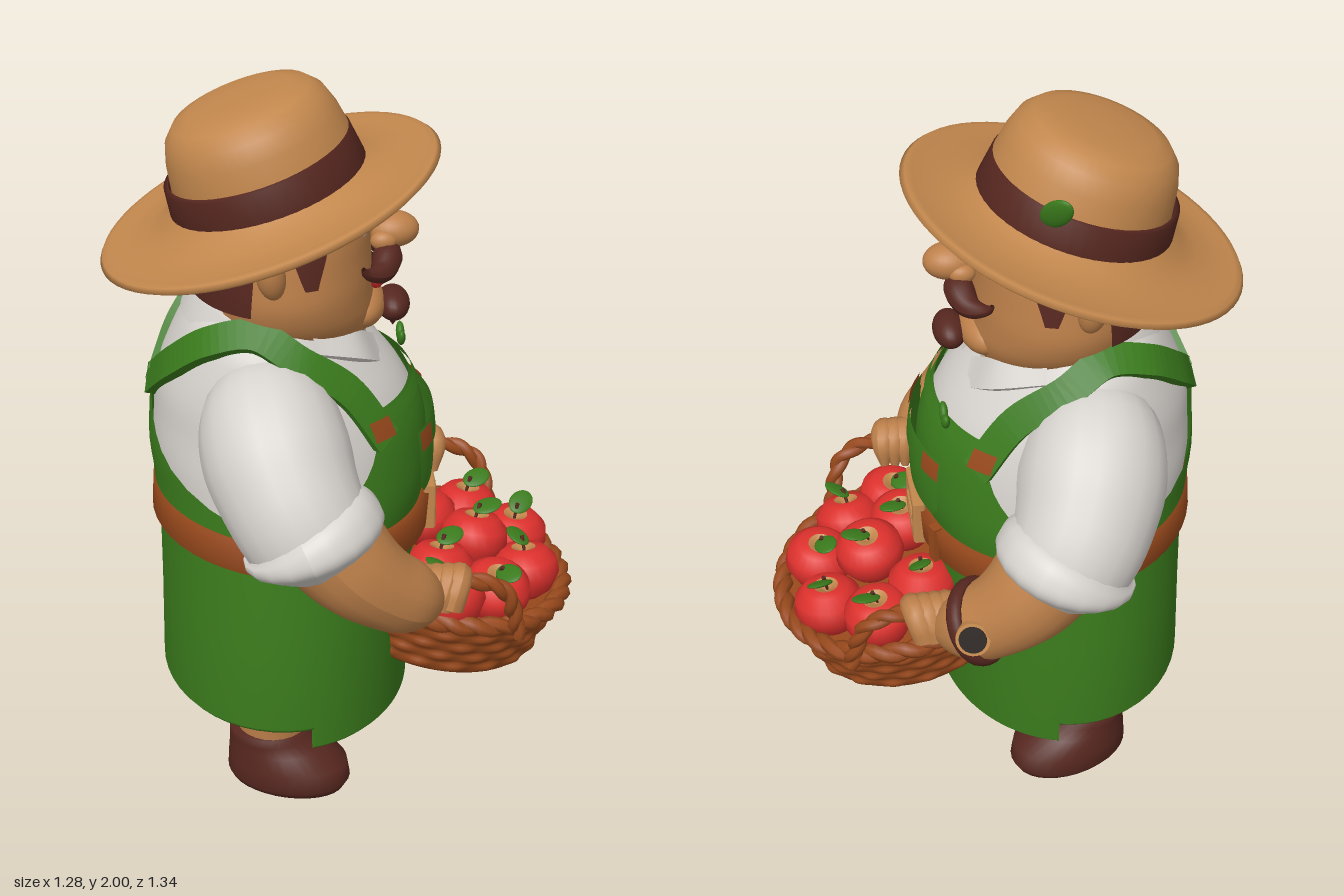
import * as THREE from 'three';
import { mergeVertices } from 'three/addons/utils/BufferGeometryUtils.js';

const mat = (name, color) => new THREE.MeshStandardMaterial({ name, color, side: THREE.DoubleSide });
const tan = mat('tan', 0xc2874d), green = mat('green', 0x3a7a1c), white = mat('white', 0xd6d2cd),
  leather = mat('leather', 0x98491c), brown = mat('brown', 0x56271f), red = mat('red', 0xdc302c),
  dark = mat('dark', 0x2a2320), skin = mat('skin', 0xbd804a);
const V = (x, y, z) => new THREE.Vector3(x, y, z);
const rad = THREE.MathUtils.degToRad;

function add(parent, name, geo, material, pos = [0, 0, 0], scale = [1, 1, 1], rot = [0, 0, 0]) {
  const m = new THREE.Mesh(geo, material);
  m.name = name;
  m.position.set(...pos); m.scale.set(...scale); m.rotation.set(...rot);
  parent.add(m);
  return m;
}
const ball = new THREE.SphereGeometry(1, 24, 16);

// Smooth lookup through rows of [height, centre x, radius x, radius z]
function sampler(rows) {
  const f = new THREE.CubicInterpolant(rows.map(r => r[0]), rows.flatMap(r => r.slice(1)), 3, []);
  return (y, off = 0) => { const r = f.evaluate(y); return [y, r[0], r[1] + off, r[2] + off]; };
}
const slices = (at, a, b, n, off = 0) => Array.from({ length: n + 1 }, (_, i) => at(a + (b - a) * i / n, off));
// Point of an oval section
const oval = ([y, cx, rx, rz], a, bump = 0) => V(cx + (rx + bump) * Math.cos(a), y, (rz + bump) * Math.sin(a));
// Skin over oval sections; half gives the half angle in degrees, mid the middle angle
function shell(rows, { half = () => 180, mid = 0, n = 48, bump = () => 0, minX = -9 } = {}) {
  const pos = [], idx = [], w = n + 1;
  rows.forEach((r, j) => {
    const h = rad(half(r[0]));
    for (let i = 0; i <= n; i++) {
      const a = rad(mid) + h * (2 * i / n - 1), p = oval(r, a, bump(a, j));
      pos.push(Math.max(p.x, minX), p.y, p.z);
      if (j && i) {
        const d = j * w + i, c = d - 1, b = d - w, a0 = c - w;
        idx.push(a0, c, b, b, c, d);
      }
    }
  });
  let g = new THREE.BufferGeometry();
  g.setAttribute('position', new THREE.Float32BufferAttribute(pos, 3));
  g.setIndex(idx);
  g = mergeVertices(g, 1e-5);
  g.computeVertexNormals();
  return g;
}
// Tube with a changing radius
function limb(points, radii, seg = 24, sides = 20) {
  const curve = new THREE.CatmullRomCurve3(points.map(p => V(...p)));
  const g = new THREE.TubeGeometry(curve, seg, 1, sides), P = g.attributes.position, v = V();
  const f = new THREE.CubicInterpolant(radii.map((_, i) => i / (radii.length - 1)), radii, 1, []);
  for (let i = 0; i < P.count; i++) {
    const t = Math.floor(i / (sides + 1)) / seg, c = curve.getPointAt(t);
    v.fromBufferAttribute(P, i).sub(c).multiplyScalar(Math.max(0.002, f.evaluate(t)[0])).add(c);
    P.setXYZ(i, v.x, v.y, v.z);
  }
  g.computeVertexNormals();
  return g;
}
// Flat strap lying on the body
function band(points, width, thick) {
  const curve = new THREE.CatmullRomCurve3(points), pos = [], idx = [], n = 40;
  for (let i = 0; i <= n; i++) {
    const p = curve.getPointAt(i / n), out = p.clone().sub(V(-0.2, 1.1, 0)).normalize();
    const side = curve.getTangentAt(i / n).cross(out).normalize();
    for (const [a, b] of [[-1, -1], [1, -1], [1, 1], [-1, 1]])
      pos.push(...p.clone().addScaledVector(side, a * width / 2).addScaledVector(out, b * thick / 2).toArray());
    if (i) for (let k = 0; k < 4; k++) {
      const a = (i - 1) * 4 + k, b = (i - 1) * 4 + (k + 1) % 4;
      idx.push(a, b, a + 4, b, b + 4, a + 4);
    }
  }
  const g = new THREE.BufferGeometry();
  g.setAttribute('position', new THREE.Float32BufferAttribute(pos, 3));
  g.setIndex(idx);
  const flat = g.toNonIndexed();
  flat.computeVertexNormals();
  return flat;
}
// Two strands twisted round a curve
function rope(parent, name, points, closed, r, turns) {
  const curve = new THREE.CatmullRomCurve3(points, closed), n = 90, fr = curve.computeFrenetFrames(n, closed);
  for (const phase of [0, Math.PI]) {
    const pts = [];
    for (let i = 0; i < n + (closed ? 0 : 1); i++) {
      const a = phase + i / n * turns * 2 * Math.PI;
      pts.push(curve.getPointAt(i / n).addScaledVector(fr.normals[i], r * 0.5 * Math.cos(a)).addScaledVector(fr.binormals[i], r * 0.5 * Math.sin(a)));
    }
    add(parent, name, new THREE.TubeGeometry(new THREE.CatmullRomCurve3(pts, closed), 140, r, 7, closed), leather);
  }
}
const lathe = (pts, n = 48) => new THREE.LatheGeometry(pts.map(p => new THREE.Vector2(...p)), n);
const rect = (C, w, h) => new C([[-w, -h], [w, -h], [w, h], [-w, h]].map(p => new THREE.Vector2(...p)));

const torsoRows = [[0.76, -0.17, 0.345, 0.385], [0.9, -0.155, 0.36, 0.385], [1.0, -0.16, 0.365, 0.375], [1.1, -0.165, 0.355, 0.36],
  [1.2, -0.185, 0.325, 0.345], [1.3, -0.21, 0.262, 0.315], [1.38, -0.23, 0.2, 0.27], [1.44, -0.22, 0.17, 0.18]];
const headRows = [[1.27, -0.13, 0.05, 0.04], [1.3, -0.13, 0.16, 0.13], [1.36, -0.15, 0.22, 0.215], [1.45, -0.16, 0.23, 0.262],
  [1.55, -0.165, 0.23, 0.26], [1.65, -0.17, 0.225, 0.245], [1.75, -0.2, 0.2, 0.22], [1.84, -0.23, 0.12, 0.14]];

function buildBody(g) {
  const at = sampler(torsoRows), P = (y, a, off) => oval(at(y, off), rad(a));
  const ys = (a, b, off) => slices(at, a, b, 12, off);
  add(g, 'shirt', shell(slices(at, 0.76, 1.44, 24)), white);
  // Apron top, pocket and back
  add(g, 'bib', shell(ys(0.8, 1.18, 0.014), { half: y => 50 + 58 * Math.max(0, (1.18 - y) / 0.38) ** 2.2 }), green);
  add(g, 'apronBack', shell(ys(0.84, 1.22, 0.012), { mid: 180, half: y => 8 + 92 * ((1.22 - y) / 0.38) ** 2.4 }), green);
  add(g, 'bibHem', shell(ys(1.15, 1.18, 0.024), { half: () => 46 }), green);
  add(g, 'pocket', shell(ys(0.89, 1.06, 0.032), { half: y => 29 - Math.max(0, 0.92 - y) * 150 }), green);
  add(g, 'pocketFlap', shell(ys(1.01, 1.085, 0.04), { half: y => 31 - Math.max(0, 1.03 - y) * 150 }), green);
  for (const s of [1, -1]) {
    add(g, 'pocketTab', shell(ys(1.03, 1.085, 0.047), { mid: 25.5 * s, half: () => 5.5, n: 4 }), leather);
    const path = [[1.1, 46], [1.25, 53], [1.34, 69], [1.4, 95], [1.37, 130], [1.28, 155], [1.17, 178]];
    add(g, 'strap', band(path.map(([y, a]) => P(y, a * s, 0.008)), 0.085, 0.03), green);
    add(g, 'strapTab', shell(ys(1.115, 1.17, 0.034), { mid: 48 * s, half: () => 5.5, n: 4 }), leather);
    add(g, 'collarFlap', band([V(-0.1, 1.37, 0.22 * s), V(0.02, 1.32, 0.15 * s), V(0.075, 1.26, 0.05 * s)], 0.085, 0.02), white);
    add(g, 'bibSprig', ball, green, [0.16, 1.2, -0.155 + 0.02 * s], [0.012, 0.03, 0.018], [0.7 * s, 0, 0]);
  }
  add(g, 'collar', shell([[-0.07, 0, 0.25, 0.25], [0, 0, 0.245, 0.235], [0.05, 0, 0.235, 0.215], [0.04, 0, 0.2, 0.19]],
    { mid: 180, half: () => 168 }), white, [-0.18, 1.38, 0], [1, 1, 1], [0, 0, -0.28]);
  // Skirt with a turned hem and front overlap
  add(g, 'skirt', shell([[0.55, -0.18, 0.31, 0.39], [0.3, -0.18, 0.315, 0.4], [0.285, -0.18, 0.33, 0.42], [0.3, -0.18, 0.342, 0.432],
    [0.55, -0.175, 0.342, 0.418], [0.82, -0.165, 0.35, 0.388]]), green);
  add(g, 'apronFront', shell([[0.5, -0.18, 0.325, 0.415], [0.25, -0.18, 0.33, 0.42], [0.232, -0.18, 0.338, 0.43], [0.245, -0.18, 0.35, 0.442],
    [0.55, -0.175, 0.352, 0.43], [0.82, -0.16, 0.362, 0.398]], { half: () => 79 }), green);
  // Belt and buckle
  add(g, 'belt', shell([[-0.048, 0, 0.352, 0.385], [-0.046, 0, 0.382, 0.413], [0.046, 0, 0.382, 0.413], [0.048, 0, 0.35, 0.38]]),
    leather, [-0.152, 0.812, 0], [1, 1, 1], [0, 0, -0.07]);
  const frame = rect(THREE.Shape, 0.08, 0.058);
  frame.holes.push(rect(THREE.Path, 0.064, 0.044));
  add(g, 'buckle', new THREE.ExtrudeGeometry(frame, { depth: 0.02, bevelSize: 0.008, bevelThickness: 0.008, bevelSegments: 3 }),
    tan, [0.216, 0.787, 0], [1, 1, 1], [0, Math.PI / 2, 0]);
  add(g, 'bucklePin', new THREE.BoxGeometry(0.015, 0.014, 0.12), tan, [0.238, 0.787, 0]);
  add(g, 'beltLoop', new THREE.BoxGeometry(0.025, 0.11, 0.03), leather, [0.193, 0.787, -0.17], [1, 1, 1], [0, 0.4, 0]);
}

function buildLimbs(g) {
  const boot = [[0, 0.055, 0.005, 0.005], [0.001, 0.055, 0.165, 0.105], [0.03, 0.058, 0.178, 0.127], [0.08, 0.055, 0.172, 0.122],
    [0.125, 0.025, 0.138, 0.108], [0.15, 0, 0.112, 0.102], [0.178, 0, 0.112, 0.105], [0.184, 0, 0.08, 0.085]];
  for (const s of [1, -1]) {
    add(g, 'boot', shell(boot, { n: 32 }), brown, [-0.23, 0, 0.21 * s], [1, 1, 1], [0, -0.38 * s, 0]);
    add(g, 'leg', new THREE.CylinderGeometry(0.13, 0.098, 0.42, 24), skin, [-0.22, 0.37, 0.21 * s]);
    add(g, 'sleeve', limb([[-0.23, 1.25, 0.14 * s], [-0.22, 1.19, 0.27 * s], [-0.195, 1.1, 0.37 * s], [-0.15, 1.0, 0.455 * s], [-0.1, 0.92, 0.485 * s]],
      [0.08, 0.17, 0.195, 0.182, 0.165]), white);
    add(g, 'cuff', limb([[-0.14, 0.995, 0.47 * s], [-0.12, 0.96, 0.477 * s], [-0.095, 0.895, 0.484 * s], [-0.09, 0.88, 0.484 * s]],
      [0.155, 0.189, 0.184, 0.12]), white);
    add(g, 'forearm', limb([[-0.09, 0.95, 0.48 * s], [0, 0.845, 0.495 * s], [0.08, 0.775, 0.48 * s], [0.16, 0.72, 0.435 * s], [0.225, 0.685, 0.375 * s]],
      [0.145, 0.132, 0.112, 0.094, 0.03]), skin);
    for (let i = 0; i < 4; i++) {
      const x = 0.18 + 0.03 * i;
      add(g, 'finger', limb([[x - 0.02, 0.68, 0.43 * s], [x, 0.74, 0.415 * s], [x + 0.01, 0.745, 0.37 * s], [x + 0.01, 0.66, 0.34 * s]],
        [0.038, 0.037, 0.033, 0.01], 12, 12), skin);
    }
  }
  // Wrist watch
  const watch = new THREE.Group();
  watch.name = 'watch';
  watch.position.set(0.115, 0.752, -0.463);
  const out = V(0.25, 0.32, -0.91).normalize();
  add(watch, 'watchStrap', new THREE.TorusGeometry(0.108, 0.013, 10, 32), brown, [0, 0, 0], [1, 1, 1.8])
    .quaternion.setFromUnitVectors(V(0, 0, 1), V(0.74, -0.5, 0.45).normalize());
  [['watchCase', 0.046, 0.03, 0.112, tan], ['watchDial', 0.037, 0.008, 0.126, dark]].forEach(([name, r, h, d, m]) =>
    add(watch, name, new THREE.CylinderGeometry(r, r, h, 24), m, out.clone().multiplyScalar(d).toArray())
      .quaternion.setFromUnitVectors(V(0, 1, 0), out));
  g.add(watch);
}

function buildHead(g) {
  const at = sampler(headRows), ys = (a, b, off) => slices(at, a, b, 8, off);
  add(g, 'head', shell(slices(at, 1.27, 1.84, 28)), skin);
  add(g, 'hair', shell(ys(1.46, 1.74, 0.026), { mid: 180, half: y => 68 + 30 * (y - 1.46) }), brown);
  add(g, 'nose', ball, skin, [0.122, 1.585, 0], [0.07, 0.048, 0.056]);
  add(g, 'noseBridge', ball, skin, [0.065, 1.615, 0], [0.05, 0.06, 0.035]);
  for (const s of [1, -1]) {
    add(g, 'sideburn', shell(ys(1.53, 1.74, 0.012), { mid: 75 * s, half: y => 4 + 80 * (y - 1.53), n: 10 }), brown);
    add(g, 'ear', ball, skin, [-0.205, 1.58, 0.275 * s], [0.038, 0.07, 0.04], [0.2 * s, 0, 0.15]);
    add(g, 'eye', ball, white, [0.03, 1.643, 0.08 * s], [0.026, 0.047, 0.047]);
    add(g, 'pupil', ball, dark, [0.05, 1.642, 0.074 * s], [0.009, 0.03, 0.027]);
    add(g, 'glint', ball, white, [0.058, 1.653, 0.074 * s + 0.008], [0.003, 0.006, 0.006]);
    add(g, 'eyebrow', limb([[0.055, 1.72, 0.03 * s], [0.05, 1.738, 0.08 * s], [0.015, 1.715, 0.14 * s]], [0.02, 0.024, 0.01], 12, 10), brown);
    add(g, 'nostril', ball, skin, [0.095, 1.57, 0.045 * s], [0.035, 0.026, 0.024]);
    add(g, 'moustache', limb([[0.1, 1.54, 0], [0.105, 1.53, 0.05 * s], [0.085, 1.51, 0.11 * s], [0.045, 1.525, 0.155 * s], [0.035, 1.545, 0.17 * s]],
      [0.024, 0.04, 0.034, 0.02, 0.006], 20, 12), brown);
  }
  // Open mouth and beard
  add(g, 'mouth', ball, dark, [0.055, 1.475, 0], [0.03, 0.042, 0.076]);
  add(g, 'teeth', ball, white, [0.073, 1.488, 0], [0.014, 0.014, 0.05]);
  add(g, 'lip', limb([[0.055, 1.475, 0.074], [0.075, 1.45, 0.038], [0.08, 1.443, 0], [0.075, 1.45, -0.038], [0.055, 1.475, -0.074]],
    [0.005, 0.016, 0.02, 0.016, 0.005], 20, 10), red);
  add(g, 'chin', ball, skin, [0.035, 1.38, 0], [0.07, 0.06, 0.12]);
  add(g, 'beard', ball, brown, [0.125, 1.372, 0], [0.045, 0.043, 0.073]);
  add(g, 'beardTip', new THREE.ConeGeometry(0.058, 0.065, 16), brown, [0.125, 1.338, 0], [0.7, 1, 1], [Math.PI, 0, 0]);
  add(g, 'neck', new THREE.CylinderGeometry(0.16, 0.19, 0.18, 24), skin, [-0.17, 1.35, 0]);
  // Tilted straw hat
  const hat = new THREE.Group();
  hat.name = 'hat';
  hat.position.set(-0.2, 1.672, 0);
  hat.rotation.z = 0.33;
  add(hat, 'brim', lathe([[0.24, 0.02], [0.32, -0.008], [0.41, -0.018], [0.45, -0.012], [0.468, 0], [0.458, 0.012], [0.44, 0.014],
    [0.4, 0.008], [0.33, 0.016], [0.285, 0.035], [0.25, 0.06]], 64), tan);
  add(hat, 'crown', lathe([[0.255, 0.02], [0.245, 0.12], [0.233, 0.19], [0.216, 0.24], [0.185, 0.273], [0.14, 0.288], [0.07, 0.294], [0, 0.295]]),
    tan, [0.02, 0, 0]);
  add(hat, 'hatBand', lathe([[0.25, 0.035], [0.266, 0.038], [0.254, 0.13], [0.24, 0.133]]), brown, [0.012, 0, 0]);
  add(hat, 'hatLeaf', ball, green, [0.14, 0.14, -0.24], [0.035, 0.062, 0.014], [-0.5, -0.5, 0.2]);
  g.add(hat);
}

function buildBasket(g) {
  // Round basket, flat where it rests against the belly
  const b = new THREE.Group(), minX = -0.18;
  b.name = 'basket';
  b.position.set(0.29, 0.57, 0);
  b.rotation.z = -0.187;
  const rows = Array.from({ length: 26 }, (_, j) => { const t = j / 25; return [-0.2 + 0.2 * t, 0, 0.285 + 0.043 * t, 0.28 + 0.07 * t]; });
  add(b, 'weave', shell([[-0.2, 0, 0.01, 0.01], ...rows], { n: 144, minX,
    bump: (a, j) => j < 1 ? 0 : 0.006 * Math.abs(Math.sin((j - 1) / 5 * Math.PI)) * (1.2 + Math.sin(a * 18 + Math.floor((j - 1) / 5) * Math.PI)) }), leather);
  add(b, 'basketFloor', shell([[-0.03, 0, 0.01, 0.01], [-0.03, 0, 0.32, 0.335]], { minX }), leather);
  rope(b, 'rim', Array.from({ length: 32 }, (_, i) => oval([0, 0, 0.328, 0.352], i / 16 * Math.PI).max(V(minX, 0, -9))), true, 0.02, 14);
  g.add(b);
  for (const s of [1, -1])
    rope(g, 'handle', [V(0.14, 0.58, 0.33 * s), V(0.18, 0.68, 0.365 * s), V(0.29, 0.73, 0.38 * s), V(0.4, 0.69, 0.37 * s), V(0.45, 0.52, 0.33 * s)], false, 0.017, 4);
  // Apples: x, height, z, turn
  const apples = [[0.36, 0.59, -0.23, 0.6], [0.49, 0.56, -0.13, 1], [0.36, 0.63, 0, 0.3], [0.5, 0.56, 0.07, 2], [0.4, 0.58, 0.2, -0.8],
    [0.25, 0.615, 0.14, 0.7], [0.27, 0.6, 0.27, 2.4], [0.23, 0.615, -0.15, 1.4]];
  const flesh = lathe([[0, -0.06], [0.035, -0.075], [0.072, -0.05], [0.097, 0], [0.091, 0.04], [0.062, 0.07], [0.034, 0.074]], 24);
  const hollow = lathe([[0.034, 0.074], [0.018, 0.066], [0, 0.05]], 24);
  apples.forEach(([x, y, z, a], i) => {
    const apple = new THREE.Group();
    apple.name = 'apple';
    apple.position.set(x, y, z);
    apple.rotation.set(0.2 * Math.sin(i * 2), a, -0.15);
    add(apple, 'appleSkin', flesh, red);
    add(apple, 'appleHollow', hollow, tan);
    add(apple, 'stem', new THREE.CylinderGeometry(0.006, 0.004, 0.05, 8), brown, [0, 0.08, 0], [1, 1, 1], [0, 0, -0.2]);
    add(apple, 'leaf', ball, green, [0.028, 0.098, 0], [0.042, 0.008, 0.032], [0.3, 0, 0.4]);
    g.add(apple);
  });
}

export function createModel() {
  const g = new THREE.Group();
  g.name = 'farmer';
  [buildBody, buildLimbs, buildHead, buildBasket].forEach(build => build(g));
  return g;
}
